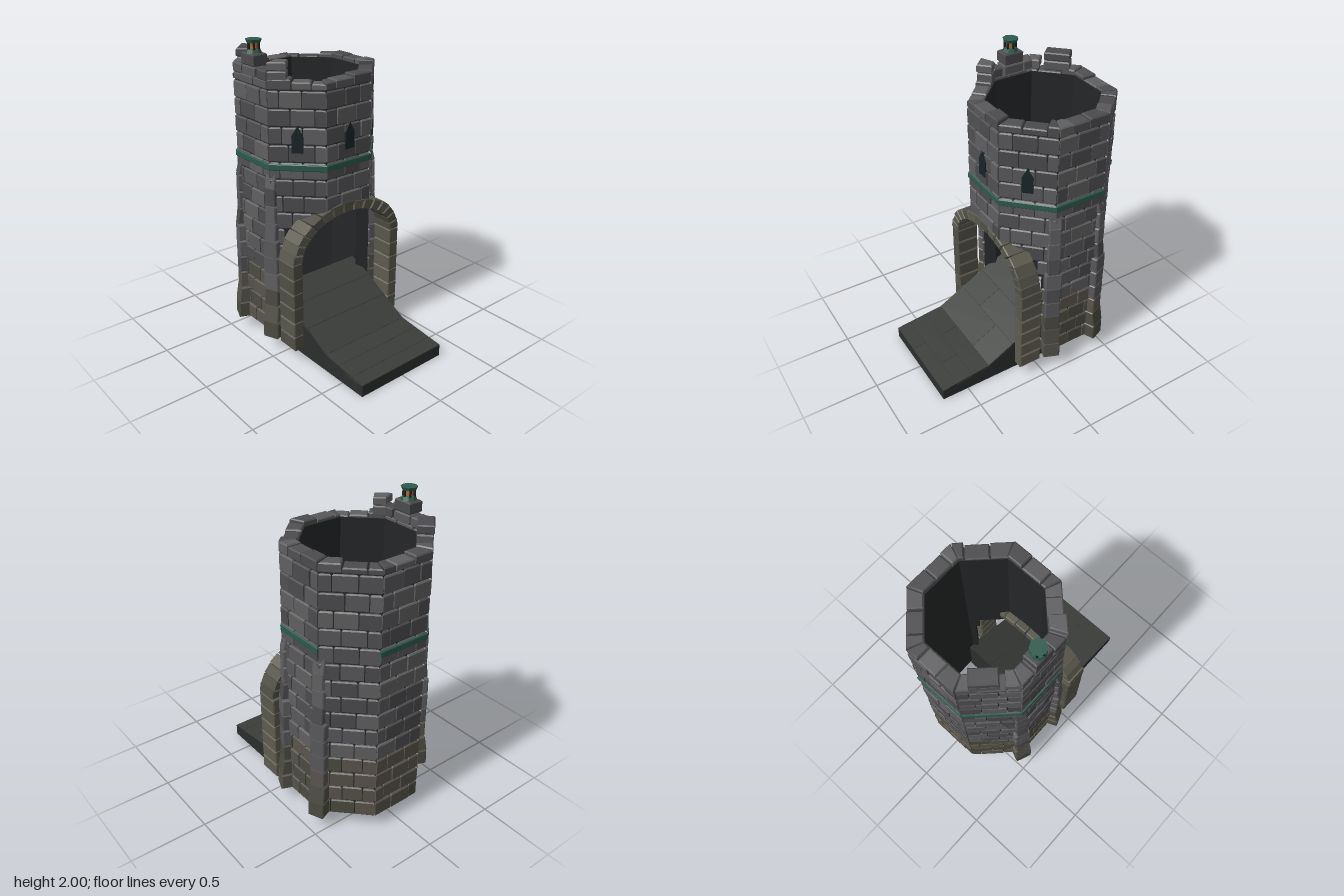
import * as THREE from 'three';

const CZ = -0.262, R = 0.42, RIN = 0.327, TAN = Math.tan(Math.PI / 8), HALF = R * TAN;
const BASE = 0.09, ROWS = 15, ROW = (1.735 - BASE) / ROWS;
const SPRING = 0.7;

const mat = (color) => new THREE.MeshStandardMaterial({ color, roughness: 0.9, flatShading: true });
const greys = [0x58585b, 0x505053, 0x5f5f61, 0x4b4b4e].map(mat);
const mossy = [0x55524a, 0x4b4b42, 0x5a544d].map(mat);
const gateStone = [0x58574c, 0x504f46, 0x5e5b50].map(mat);
const mortar = mat(0x242627), dark = mat(0x1b2429), wood = mat(0x3a3d3a), woodDark = mat(0x2b2e2d);
const teal = mat(0x2c5a4b), glow = mat(0xb0682c);

let seed = 7;
const rand = () => (seed = (seed * 16807) % 2147483647) / 2147483647;
const jit = (a) => (rand() - 0.5) * 2 * a;
const pick = (list) => list[Math.floor(rand() * list.length)];

function add(parent, name, geometry, material) {
  const m = new THREE.Mesh(geometry, material);
  m.name = name;
  parent.add(m);
  return m;
}

// Chamfered prism over a polygon, running from 0 to depth
function prism(points, depth, bevel = 0) {
  const shape = new THREE.Shape(points.map(([x, y]) => new THREE.Vector2(x, y)));
  const g = new THREE.ExtrudeGeometry(shape, {
    depth: depth - 2 * bevel, bevelEnabled: bevel > 0, bevelSegments: 1,
    bevelSize: bevel, bevelThickness: bevel, bevelOffset: -bevel,
  });
  return g.translate(0, 0, bevel);
}

// Profile of [z, y] points, extruded across x
const across = (points, x0, x1, bevel) =>
  prism(points.map(([z, y]) => [-z, y]), x1 - x0, bevel).rotateY(Math.PI / 2).translate(x0, 0, 0);

// Point on octagon face k at distance r and offset s, mitred at the corners
function onFace(k, r, s) {
  const a = k * Math.PI / 4, lim = r * TAN, c = THREE.MathUtils.clamp(s, -lim, lim);
  return [Math.sin(a) * r + Math.cos(a) * c, -(CZ + Math.cos(a) * r - Math.sin(a) * c)];
}

function wallBlock(k, s0, s1, rIn, rOut, y0, y1, bevel) {
  const pts = [onFace(k, rOut, s0), onFace(k, rOut, s1), onFace(k, rIn, s1), onFace(k, rIn, s0)];
  return prism(pts, y1 - y0, bevel).rotateX(-Math.PI / 2).translate(0, y0, 0);
}

// Part of a face left standing beside the gate opening at a given row
function openSpan(k, row) {
  if (k === 0) return row < 8 ? null : [-HALF, HALF];
  if ((k !== 1 && k !== 7) || row > 7) return [-HALF, HALF];
  const h = Math.max(0, BASE + row * ROW + 0.03 - SPRING) / 0.24;
  const s = Math.max(-HALF, 0.365 * Math.sqrt(Math.max(0, 1 - h * h)) / Math.SQRT1_2 - R);
  return k === 1 ? [s, HALF] : [-HALF, -s];
}

function buildWall() {
  const g = new THREE.Group();
  g.name = 'towerWall';
  for (let k = 0; k < 8; k++) for (let row = 0; row <= ROWS; row++) {
    const span = openSpan(k, row);
    if (!span) continue;
    const y0 = BASE + row * ROW, top = row === ROWS;
    const y1 = top ? 1.79 : y0 + ROW;
    add(g, 'mortar', wallBlock(k, ...span, RIN - 0.004, R - 0.014, y0, top ? y1 - 0.02 : y1), mortar);
    const cuts = ((row + k) % 2 ? [0, 0.22, 0.62, 1] : [0, 0.38, 0.78, 1]).map((c, i) =>
      -HALF + 2 * HALF * (c + (i % 3 ? jit(0.04) : 0)));
    for (let i = 0; i < 3; i++) {
      const s0 = Math.max(cuts[i], span[0]) + 0.003, s1 = Math.min(cuts[i + 1], span[1]) - 0.003;
      if (s1 - s0 < 0.022) continue;
      const h = top ? y1 + jit(0.016) : y1 - 0.003;
      add(g, 'wallBrick', wallBlock(k, s0, s1, RIN, R + jit(0.004), y0 + 0.003, h, 0.007),
        pick(row < 4 ? mossy : greys));
    }
  }
  // Surviving merlons on the higher, broken side
  const merlons = [[7, -0.17, -0.06, 1.9], [6, 0.08, 0.17, 1.85], [6, -0.07, 0.06, 1.92],
    [6, -0.17, -0.08, 1.85], [5, 0.09, 0.17, 1.84], [5, -0.1, 0.06, 1.9]];
  for (const [k, s0, s1, y] of merlons) {
    add(g, 'merlon', wallBlock(k, s0, s1, RIN, R, 1.785, 1.845, 0.007), pick(greys));
    if (y > 1.86) add(g, 'merlonCap', wallBlock(k, s0, s1, RIN, R + 0.003, 1.848, y, 0.007), pick(greys));
  }
  return g;
}

// Tapering corner buttresses of stacked stones
function buildButtress(angle) {
  const g = new THREE.Group();
  g.name = 'buttress';
  const radii = [0.503, 0.5, 0.482, 0.48, 0.48, 0.48, 0.478, 0.464, 0.464, 0.462, 0.435];
  const step = (1.24 - BASE) / 10;
  for (let i = 0; i < 10; i++) {
    const y0 = BASE + i * step + 0.003, y1 = y0 + step - 0.006;
    const w = (i < 2 ? 0.055 : i < 6 ? 0.05 : 0.038) + jit(0.003);
    const pts = [[0.4, y0], [radii[i], y0], [radii[i + 1], y1], [0.4, y1]];
    add(g, 'buttressStone', across(pts, -w, w, 0.006), pick(i < 3 ? mossy : greys));
  }
  g.rotation.y = angle;
  g.position.z = CZ;
  return g;
}

function buildGate() {
  const g = new THREE.Group();
  g.name = 'gateArch';
  // Side piers
  const step = (SPRING - BASE) / 6;
  for (const side of [-1, 1]) for (let i = 0; i < 6; i++) {
    const geo = across([[0.005, BASE + i * step + 0.003], [0.16, BASE + i * step + 0.003],
      [0.16, BASE + (i + 1) * step - 0.003], [0.005, BASE + (i + 1) * step - 0.003]],
    side * 0.403 - 0.038, side * 0.403 + 0.038, 0.006);
    add(g, 'pierStone', geo, pick(gateStone));
  }
  // Arch stones
  const N = 15, pt = (rx, ry, a) => [Math.cos(a) * rx, SPRING + Math.sin(a) * ry];
  for (let i = 0; i < N; i++) {
    const a0 = i / N * Math.PI + 0.008, a1 = (i + 1) / N * Math.PI - 0.008, o = jit(0.006);
    const pts = [pt(0.365, 0.24, a0), pt(0.441 + o, 0.31 + o, a0), pt(0.441 + o, 0.31 + o, a1), pt(0.365, 0.24, a1)];
    add(g, 'archStone', prism(pts, 0.145, 0.006).translate(0, 0, 0.017), pick(gateStone));
  }
  return g;
}

function buildRamp() {
  const g = new THREE.Group();
  g.name = 'ramp';
  const top = (z) => z > 0.34 ? 0.12 - (z - 0.34) / 0.34 * 0.04 : 0.12 + (0.34 - z) * 0.54;
  const d = 0.004;
  add(g, 'rampBody', across([[0.68, 0], [0.68, top(0.68) - d], [0.34, 0.12 - d],
    [-0.165, top(-0.165) - d], [-0.165, 0]], -0.335, 0.335), woodDark);
  // Staggered planks following the slope
  const edges = [0.68, 0.585, 0.462, 0.34, 0.155, -0.005, -0.165];
  for (let i = 0; i < edges.length - 1; i++) {
    const za = edges[i] - 0.001, zb = edges[i + 1] + 0.001, joint = i % 2 ? 0.125 : -0.095;
    const pts = [[za, top(za) - 0.02], [za, top(za)], [zb, top(zb)], [zb, top(zb) - 0.02]];
    for (const [x0, x1] of [[-0.335, joint - 0.001], [joint + 0.001, 0.335]])
      add(g, 'plank', across(pts, x0, x1), wood);
  }
  return g;
}

function buildLantern() {
  const g = new THREE.Group();
  g.name = 'lantern';
  const ring = (name, rt, rb, y0, y1, m) =>
    add(g, name, new THREE.CylinderGeometry(rt, rb, y1 - y0, 8).translate(0, (y0 + y1) / 2, 0), m);
  ring('lanternBase', 0.04, 0.05, 1.918, 1.942, teal);
  ring('lanternGlow', 0.026, 0.026, 1.94, 1.982, glow);
  ring('lanternCap', 0.05, 0.042, 1.98, 2.0, teal);
  for (let i = 0; i < 6; i++) {
    const a = i * Math.PI / 3;
    add(g, 'lanternPost', new THREE.BoxGeometry(0.01, 0.044, 0.01)
      .translate(Math.cos(a) * 0.034, 1.961, Math.sin(a) * 0.034), dark);
  }
  g.position.set(-0.375, 0, -0.268);
  return g;
}

export function createModel() {
  const model = new THREE.Group();
  model.name = 'ruinedTower';
  model.add(buildWall(), buildGate(), buildRamp(), buildLantern());
  for (const deg of [67.5, 112.5, -67.5, -112.5]) model.add(buildButtress(THREE.MathUtils.degToRad(deg)));

  // Coloured string course, missing on one rear face
  for (let k = 0; k < 8; k++) if (k !== 3)
    add(model, 'stringCourse', wallBlock(k, -HALF - 0.01, HALF + 0.01, 0.4, R + 0.007, 1.245, 1.287, 0.005), teal);

  // Pointed slit windows on the three front faces
  const slit = [[-0.035, 1.36], [0.035, 1.36], [0.035, 1.465], [0, 1.525], [-0.035, 1.465]];
  for (const k of [-1, 0, 1])
    add(model, 'slitWindow', prism(slit, 0.03).translate(0, 0, R - 0.022)
      .rotateY(k * Math.PI / 4).translate(0, 0, CZ), dark);
  return model;
}
